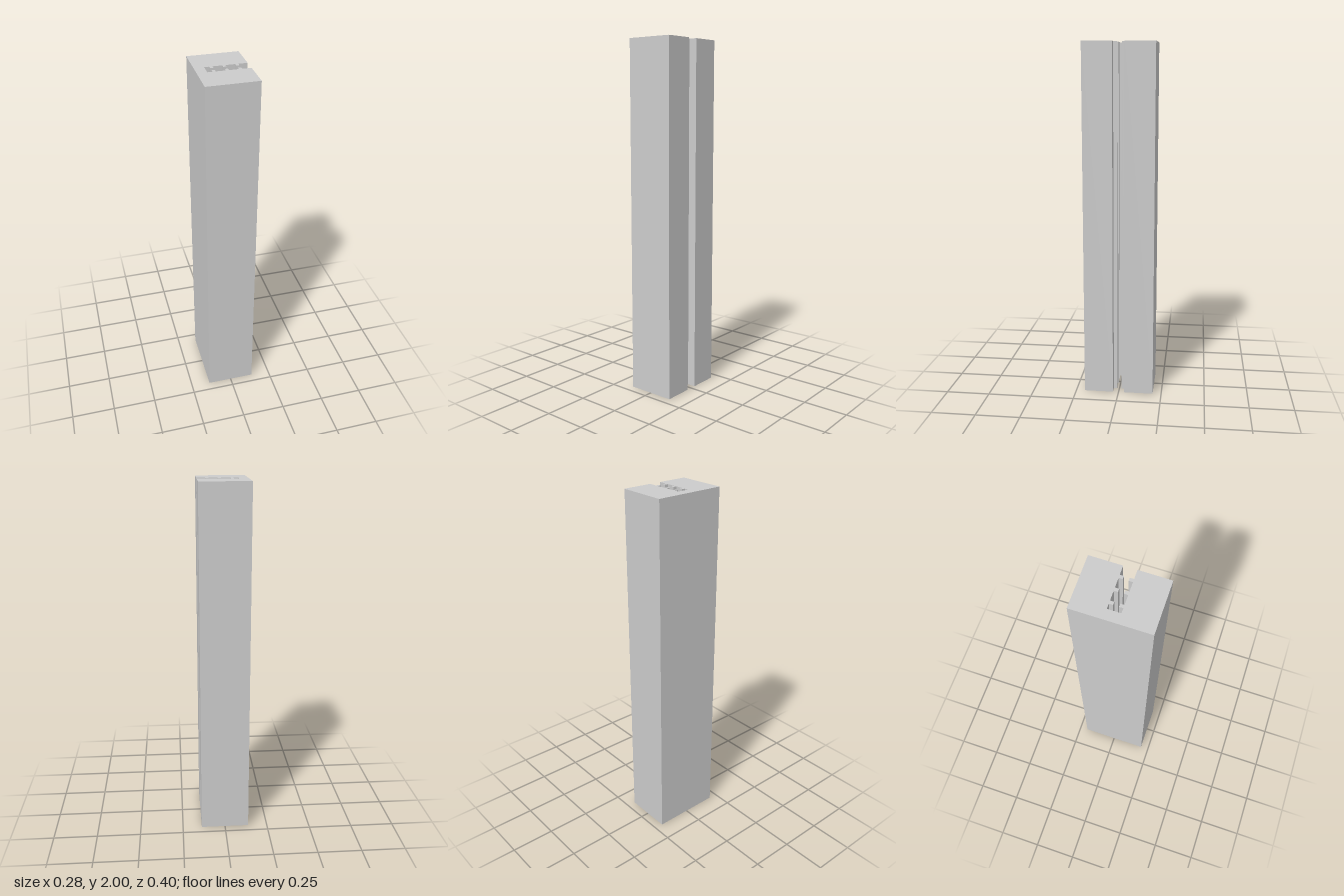
import * as THREE from 'three';

const HEIGHT = 2;
const HALF_X = 0.1385, HALF_Z = 0.2;
const SLOT_X = -0.085, SLOT_Z = 0.0335; // slot floor and half-width
const RIB_Z = 0.0135, RIB_WIDTH = 0.0167; // rib tip distance from centre, rib width
const RIB_STARTS = [-0.0595, 0.0073, 0.074];

// One slot wall, from the floor outwards, with ribs reaching towards the centre
function slotWall(side) {
  const points = [[SLOT_X, side * SLOT_Z]];
  for (const x of RIB_STARTS) {
    points.push(
      [x, side * SLOT_Z], [x, side * RIB_Z],
      [x + RIB_WIDTH, side * RIB_Z], [x + RIB_WIDTH, side * SLOT_Z]
    );
  }
  points.push([HALF_X, side * SLOT_Z]);
  return points;
}

export function createModel() {
  const group = new THREE.Group();

  // Counter-clockwise cross-section: outer block, then in and out of the ribbed slot
  const outline = [
    [HALF_X, HALF_Z], [-HALF_X, HALF_Z], [-HALF_X, -HALF_Z], [HALF_X, -HALF_Z],
    ...slotWall(-1).reverse(),
    ...slotWall(1),
  ];
  const shape = new THREE.Shape(outline.map(([x, y]) => new THREE.Vector2(x, y)));

  // Stand the extrusion upright
  const geometry = new THREE.ExtrudeGeometry(shape, { depth: HEIGHT, bevelEnabled: false });
  geometry.rotateX(-Math.PI / 2);

  const post = new THREE.Mesh(
    geometry,
    new THREE.MeshStandardMaterial({ color: 0xcccccc, flatShading: true })
  );
  post.name = 'slottedPost';
  group.add(post);
  return group;
}
